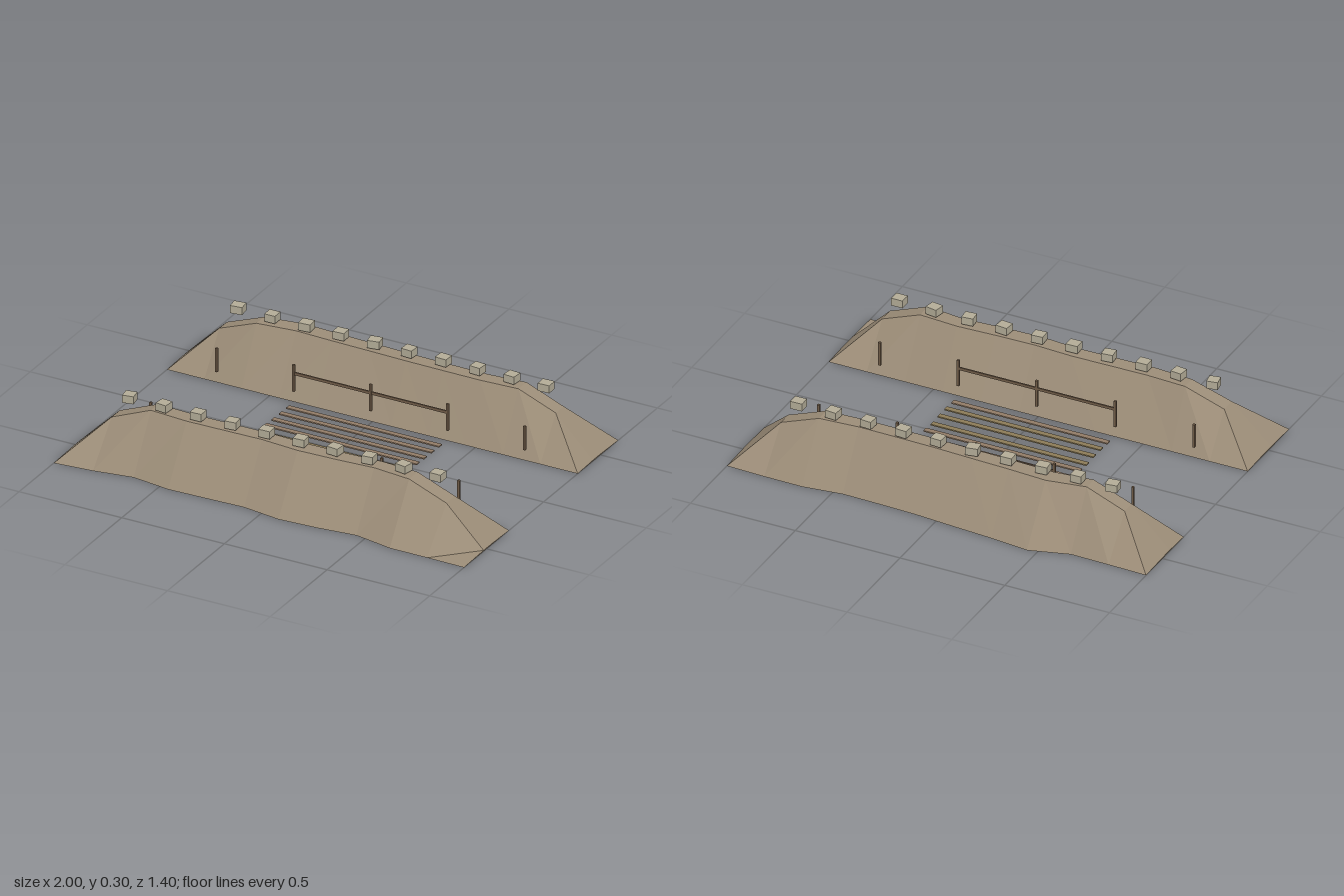
import * as THREE from 'three';

const mat = (color) => new THREE.MeshStandardMaterial({ color, flatShading: true });
const earth = mat(0x9c8d78), stone = mat(0xb3ac97), timber = mat(0x705c48);
const slatMats = [mat(0x917b66), mat(0x8c7b57)];

// Outer foot line of each bank, one distance per cross-section
const FRONT = [0.695, 0.678, 0.648, 0.674, 0.669, 0.663, 0.69, 0.68, 0.66, 0.695, 0.696, 0.699];
const BACK = [0.655, 0.65, 0.646, 0.70, 0.68, 0.667, 0.652, 0.645, 0.641, 0.665, 0.663, 0.656];

function box(name, w, h, d, x, y, z, material) {
  const m = new THREE.Mesh(new THREE.BoxGeometry(w, h, d), material);
  m.name = name;
  m.position.set(x, y, z);
  return m;
}

// Trapezoid cross-sections lofted along x; side = +1 front, -1 back
function bankGeometry(outer, inner, side) {
  const pos = [], idx = [], n = outer.length;
  outer.forEach((out, i) => {
    const x = -1 + (2 * i) / (n - 1);
    const edge = Math.min(i, n - 1 - i);
    const h = edge === 0 ? 0.005 : edge === 1 ? 0.185 : 0.255;
    const w = out - inner;
    [[0, 0], [0.372, h], [0.565, h], [1, 0]].forEach(([t, y]) => pos.push(x, y, side * (inner + w * t)));
  });
  const tri = (a, b, c) => (side > 0 ? idx.push(a, c, b) : idx.push(a, b, c));
  for (let i = 0; i < n - 1; i++) {
    for (let j = 0; j < 4; j++) {
      const k = (j + 1) % 4;
      const a = i * 4 + j, b = i * 4 + k, c = a + 4, d = b + 4;
      // diagonals run from the foot up to the crest so the ends slope cleanly
      const rising = i < n / 2 - 1;
      const splitAD = j === 0 ? rising : j === 2 ? !rising && side < 0 : true;
      if (splitAD) { tri(a, c, d); tri(a, d, b); }
      else { tri(a, c, b); tri(b, c, d); }
    }
  }
  // end caps
  const e = (n - 1) * 4;
  tri(0, 1, 2); tri(0, 2, 3);
  tri(e, e + 2, e + 1); tri(e, e + 3, e + 2);
  const g = new THREE.BufferGeometry();
  g.setAttribute('position', new THREE.Float32BufferAttribute(pos, 3));
  g.setIndex(idx);
  const flat = g.toNonIndexed();
  flat.computeVertexNormals();
  return flat;
}

export function createModel() {
  const model = new THREE.Group();
  model.name = 'trench';
  let seed = 7;
  const rand = () => (seed = (seed * 16807) % 2147483647) / 2147483647;

  const sides = [
    { side: 1, label: 'front', outer: FRONT, inner: 0.304, blockZ: 0.478, postZ: 0.292 },
    { side: -1, label: 'back', outer: BACK, inner: 0.3, blockZ: -0.474, postZ: -0.284 },
  ];
  for (const { side, label, outer, inner, blockZ, postZ } of sides) {
    const bank = new THREE.Mesh(bankGeometry(outer, inner, side), earth);
    bank.name = label + 'Bank';
    model.add(bank);

    // row of loose blocks along the crest
    const blocks = new THREE.Group();
    blocks.name = label + 'Blocks';
    for (let i = 0; i < 10; i++) {
      const b = box('block', 0.051 + rand() * 0.005, 0.036, 0.05, -0.75 + i / 6, 0.28, blockZ, stone);
      b.rotation.y = (rand() - 0.5) * 0.4;
      blocks.add(b);
    }
    model.add(blocks);

    // revetment posts and the rail joining the middle three
    const fence = new THREE.Group();
    fence.name = label + 'Revetment';
    for (let i = -2; i <= 2; i++) {
      const h = Math.abs(i) === 2 ? 0.113 : 0.127;
      fence.add(box('post', 0.011, h, 0.011, i * 0.375, 0.06 + h / 2, postZ, timber));
    }
    fence.add(box('rail', 0.75, 0.013, 0.007, 0, 0.146, postZ, timber));
    model.add(fence);
  }

  // duckboard slats on the trench floor
  const floor = new THREE.Group();
  floor.name = 'duckboards';
  const lift = [0.010, 0.011, 0.012, 0.014, 0.010, 0.014, 0.014, 0.011];
  lift.forEach((y, i) => {
    const m = slatMats[i >= 4 && i <= 6 ? 1 : 0];
    floor.add(box('slat', 0.744, 0.006, 0.025, 0, y, -0.227 + i * 0.0657, m));
  });
  model.add(floor);
  return model;
}
